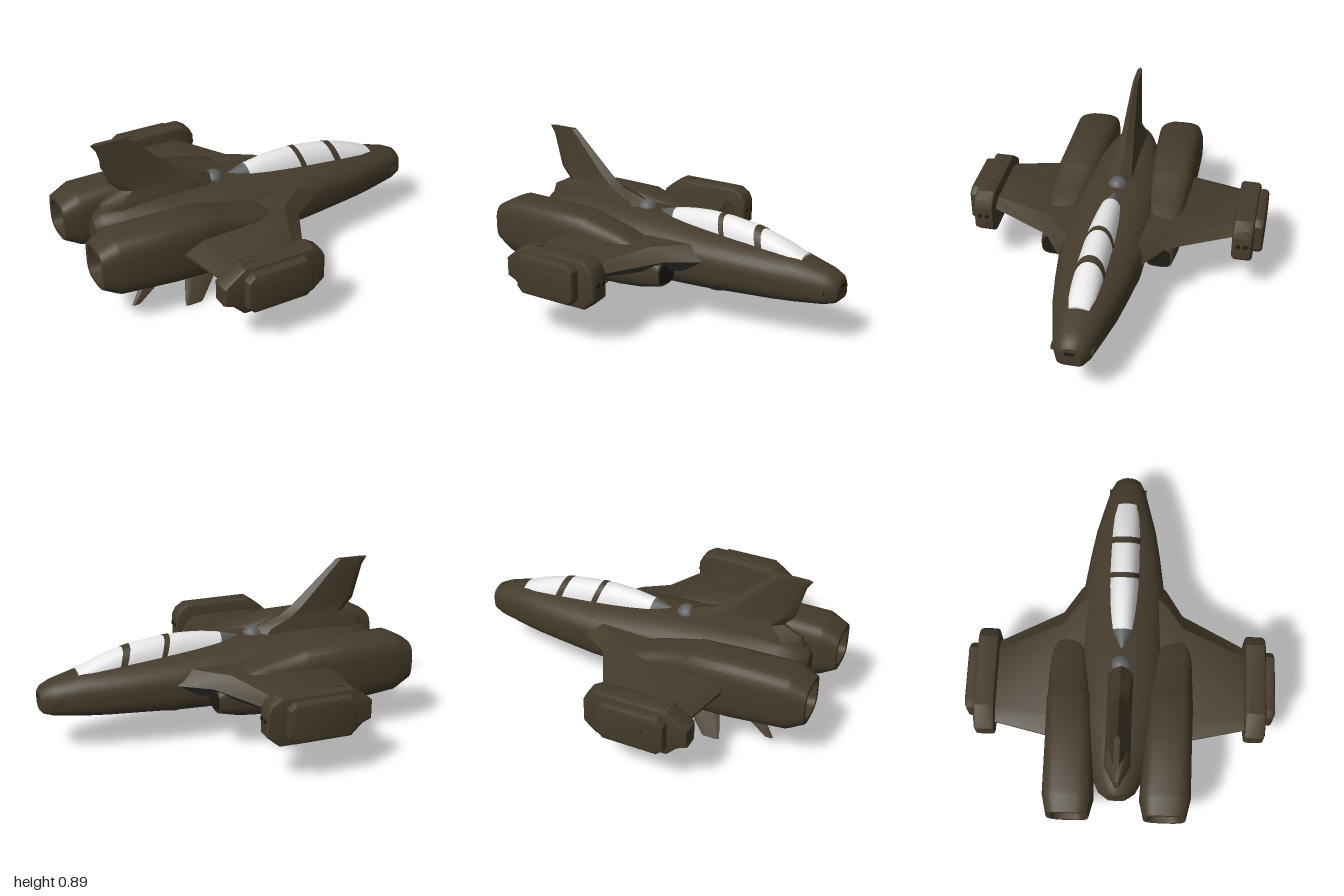
import * as THREE from 'three';
import { toCreasedNormals } from 'three/addons/utils/BufferGeometryUtils.js';

const mat = (name, color) => {
  const m = new THREE.MeshStandardMaterial({ color });
  m.name = name;
  return m;
};
const olive = mat('olive hull', 0x453b2b);
const belly = mat('grey belly', 0x3a3b3a);
const glass = mat('pale canopy', 0xe6e6e6);
const smoke = mat('smoke grey', 0x5c5d5e);
const dark = mat('dark opening', 0x1f1c17);

// Creases the normals and groups faces that look down as belly
function finish(geo, crease = 0.6) {
  const g = toCreasedNormals(geo.index ? geo.toNonIndexed() : geo, crease);
  const p = g.attributes.position, tri = new THREE.Triangle(), n = new THREE.Vector3();
  g.clearGroups();
  for (let i = 0; i < p.count; i += 3) {
    tri.setFromAttributeAndIndices(p, i, i + 1, i + 2);
    const m = tri.getNormal(n).y < -0.5 ? 1 : 0;
    const last = g.groups[g.groups.length - 1];
    if (last && last.materialIndex === m) last.count += 3;
    else g.addGroup(i, 3, m);
  }
  return g;
}

// Closed skin over a row of equal-length rings, always facing outward
function skin(rings, crease) {
  const n = rings[0].length, last = rings.length - 1, pts = rings.flat(), idx = [];
  for (let r = 0; r < last; r++) for (let i = 0; i < n; i++) {
    const a = r * n + i, b = r * n + (i + 1) % n;
    idx.push(a, b, b + n, a, b + n, a + n);
  }
  for (const r of [0, last]) {
    const c = new THREE.Vector3();
    rings[r].forEach(v => c.addScaledVector(v, 1 / n));
    pts.push(c);
    for (let i = 0; i < n; i++) {
      const a = r * n + i, b = r * n + (i + 1) % n;
      idx.push(pts.length - 1, ...(r ? [a, b] : [b, a]));
    }
  }
  let volume = 0;
  const cross = new THREE.Vector3();
  for (let i = 0; i < idx.length; i += 3)
    volume += pts[idx[i]].dot(cross.crossVectors(pts[idx[i + 1]], pts[idx[i + 2]]));
  if (volume < 0) idx.reverse();
  const g = new THREE.BufferGeometry().setFromPoints(pts);
  g.setIndex(idx);
  return finish(g, crease);
}

// Rounded cross-section across the x axis; exponents set how boxy each half is
function oval(x, zc, hw, yb, ym, yt, nTop, nLow, count = 32) {
  const pow = (v, n) => Math.sign(v) * Math.abs(v) ** (2 / n);
  return Array.from({ length: count }, (_, i) => {
    const a = i / count * Math.PI * 2, s = Math.sin(a), n = s >= 0 ? nTop : nLow;
    return new THREE.Vector3(x, ym + pow(s, n) * (s >= 0 ? yt - ym : ym - yb), zc + hw * pow(Math.cos(a), n));
  });
}

// Six-sided blade section from leading edge to trailing edge
function foil(xl, xt, y, z, ty, tz) {
  const c = xl - xt;
  return [[xl, 0], [xl - c * 0.13, 1], [xt + c * 0.15, 1], [xt, 0.15], [xt, -0.15], [xt + c * 0.15, -1], [xl - c * 0.13, -1]]
    .map(([x, s]) => new THREE.Vector3(x, y + s * ty, z + s * tz));
}

function mirrorZ(geo) {
  const g = geo.clone().scale(1, 1, -1);
  for (const a of [g.attributes.position, g.attributes.normal]) {
    for (let i = 0; i < a.count; i += 3) {
      const v = [a.getX(i), a.getY(i), a.getZ(i)];
      a.setXYZ(i, a.getX(i + 2), a.getY(i + 2), a.getZ(i + 2));
      a.setXYZ(i + 2, ...v);
    }
  }
  return g;
}

export function createModel() {
  const model = new THREE.Group();
  model.name = 'starfighter';
  const add = (name, geo, m = [olive, belly]) => {
    const mesh = new THREE.Mesh(geo, m);
    mesh.name = name;
    model.add(mesh);
    return mesh;
  };
  const pair = (name, geo, m) => {
    add(name + 'Left', geo, m);
    add(name + 'Right', mirrorZ(geo), m);
  };
  const box = (w, h, d, x, y, z) => finish(new THREE.BoxGeometry(w, h, d).translate(x, y, z));

  // Fuselage: x, half width, bottom, widest height, top
  add('fuselage', skin([
    [1.0, 0.055, 0.25, 0.30, 0.355], [0.985, 0.075, 0.235, 0.30, 0.375], [0.93, 0.10, 0.22, 0.31, 0.40],
    [0.77, 0.14, 0.205, 0.33, 0.44], [0.65, 0.17, 0.20, 0.34, 0.455], [0.5, 0.195, 0.195, 0.35, 0.47],
    [0.28, 0.225, 0.185, 0.36, 0.49], [0.1, 0.225, 0.175, 0.37, 0.505], [-0.15, 0.23, 0.17, 0.37, 0.525],
    [-0.5, 0.22, 0.17, 0.36, 0.535], [-0.75, 0.15, 0.19, 0.36, 0.53], [-0.86, 0.10, 0.27, 0.37, 0.50],
    [-0.9, 0.05, 0.32, 0.38, 0.46],
  ].map(([x, w, b, m, t]) => oval(x, 0, w, b, m, t, 2.2, 3.6))));

  // Canopy: x, half width, top
  const canopy = [[-0.12, 0.02, 0.52], [-0.02, 0.07, 0.548], [0.1, 0.08, 0.568], [0.22, 0.085, 0.575], [0.35, 0.085, 0.568],
    [0.48, 0.083, 0.55], [0.6, 0.08, 0.52], [0.7, 0.074, 0.485], [0.79, 0.06, 0.445]];
  const canopyRing = (x, grow) => {
    let i = 0;
    while (i < canopy.length - 2 && canopy[i + 1][0] < x) i++;
    const [a, b] = [canopy[i], canopy[i + 1]], t = (x - a[0]) / (b[0] - a[0]);
    const w = THREE.MathUtils.lerp(a[1], b[1], t) + grow, top = THREE.MathUtils.lerp(a[2], b[2], t) + grow;
    const ring = oval(x, 0, w, 0.36, 0.41, top, 2.2, 2);
    // Panes lean forward toward the sill
    const lean = Math.min(1, (0.79 - x) * 5, (x + 0.12) * 5) * 0.35;
    ring.forEach(v => { v.x += lean * Math.max(0, top - Math.max(v.y, 0.44)); });
    return ring;
  };
  [[-0.12, -0.01, smoke], [-0.01, 0.28, glass], [0.28, 0.31, olive], [0.31, 0.5, glass], [0.5, 0.54, olive], [0.54, 0.79, glass]]
    .forEach(([x0, x1, m], k) => {
      const grow = m === olive ? 0.003 : 0;
      const rings = Array.from({ length: 7 }, (_, i) => canopyRing(x0 + (x1 - x0) * i / 6, grow));
      add((m === olive ? 'canopyFrame' : 'canopyPane') + k, skin(rings, 0.8), [m, m]);
    });

  // Sensor dome behind the canopy
  add('sensorDome', new THREE.SphereGeometry(0.055, 24, 16).translate(-0.2, 0.508, 0), smoke);

  // Tail fin: y, leading x, trailing x, half thickness
  add('tailFin', skin([
    [0.892, -0.69, -0.88, 0.014], [0.85, -0.645, -0.852, 0.019], [0.66, -0.44, -0.80, 0.036],
    [0.6, -0.36, -0.745, 0.046], [0.55, -0.2, -0.85, 0.062], [0.46, -0.12, -0.88, 0.08],
  ].map(([y, l, t, h]) => foil(l, t, y, 0, 0, h))));

  // Wings: z, leading x, trailing x, half thickness
  pair('wing', skin([
    [0.1, 0.42, -0.6, 0.075], [0.235, 0.29, -0.59, 0.072], [0.33, 0.14, -0.58, 0.066], [0.69, -0.05, -0.5, 0.035],
  ].map(([z, l, t, h]) => foil(l, t, 0.367, z, h, 0))));

  // Engines, ending in a recessed nozzle: x, centre z, half width, bottom, top
  pair('engine', skin([
    [0.12, 0.29, 0.075, 0.225, 0.35], [0, 0.285, 0.095, 0.195, 0.42], [-0.15, 0.28, 0.11, 0.18, 0.475],
    [-0.36, 0.27, 0.122, 0.172, 0.52], [-0.37, 0.27, 0.126, 0.17, 0.526], [-0.6, 0.262, 0.13, 0.175, 0.532],
    [-0.9, 0.255, 0.135, 0.205, 0.53], [-0.92, 0.255, 0.13, 0.212, 0.522], [-1, 0.255, 0.112, 0.26, 0.48],
    [-1, 0.255, 0.088, 0.285, 0.455], [-0.93, 0.255, 0.08, 0.295, 0.445],
  ].map(([x, z, w, b, t]) => oval(x, z, w, b, (b + t) / 2, t, 3.6, 3.2))));
  const intake = x => oval(x, 0.29, 0.066, 0.235, 0.287, 0.34, 3.6, 3.2);
  pair('intakeOpening', skin([intake(0.117), intake(0.125)]), [dark, dark]);

  // Wingtip pods: chamfered outline pushed out along z
  const plate = (outline, z0, z1, bevel) => finish(new THREE.ExtrudeGeometry(
    new THREE.Shape(outline.map(p => new THREE.Vector2(...p))),
    { depth: z1 - z0 - 2 * bevel, bevelEnabled: true, bevelSize: bevel, bevelThickness: bevel, bevelOffset: -bevel, bevelSegments: 2 }
  ).translate(0, 0, z0 + bevel), 0.5);
  pair('wingtipPod', plate([[-0.44, 0.472], [-0.05, 0.472], [0.0, 0.44], [0.02, 0.40], [0.02, 0.27], [-0.05, 0.21],
    [-0.44, 0.21], [-0.5, 0.27], [-0.55, 0.29], [-0.55, 0.39], [-0.5, 0.43]], 0.67, 0.782, 0.018));
  pair('podArmour', plate([[-0.41, 0.452], [-0.11, 0.452], [-0.075, 0.42], [-0.075, 0.27], [-0.11, 0.235],
    [-0.41, 0.235], [-0.445, 0.27], [-0.445, 0.42]], 0.75, 0.832, 0.02));
  pair('podPanel', box(0.12, 0.03, 0.006, -0.27, 0.36, 0.831));
  for (const z of [0.705, 0.745]) {
    const barrel = new THREE.CylinderGeometry(0.012, 0.012, 0.03, 12).rotateZ(Math.PI / 2).translate(0.012, 0.35, z);
    pair('podGun', finish(barrel), [dark, dark]);
  }
  pair('podLatch', box(0.06, 0.012, 0.025, -0.39, 0.472, 0.72));

  // Splayed lower fins: y, z, leading x, trailing x, half thickness
  const lowerFin = rows => skin(rows.map(([y, z, l, t, h]) => foil(l, t, y, z, 0, h)));
  pair('frontLowerFin', lowerFin([[0.24, 0.165, -0.2, -0.48, 0.035], [0.17, 0.215, -0.26, -0.49, 0.028], [0, 0.322, -0.44, -0.54, 0.009]]));
  pair('rearLowerFin', lowerFin([[0.26, 0.155, -0.46, -0.69, 0.03], [0.19, 0.195, -0.54, -0.71, 0.024], [0.06, 0.258, -0.77, -0.815, 0.008]]));

  // Belly turret
  const disc = (r0, r1, h, y) => finish(new THREE.CylinderGeometry(r0, r1, h, 24).translate(0.27, y, 0));
  add('bellyTurret', disc(0.075, 0.06, 0.05, 0.175));
  add('bellyLens', disc(0.035, 0.03, 0.02, 0.147), [smoke, smoke]);
  add('bellyBlock', box(0.1, 0.04, 0.09, 0.36, 0.185, 0));

  // Nose scoop and cheek slots
  add('noseScoop', box(0.05, 0.035, 0.07, 0.978, 0.325, 0));
  add('noseSlot', box(0.006, 0.018, 0.05, 1.002, 0.325, 0), [dark, dark]);
  pair('cheekSlot', box(0.07, 0.025, 0.02, 0.91, 0.30, 0.098));

  return model;
}
